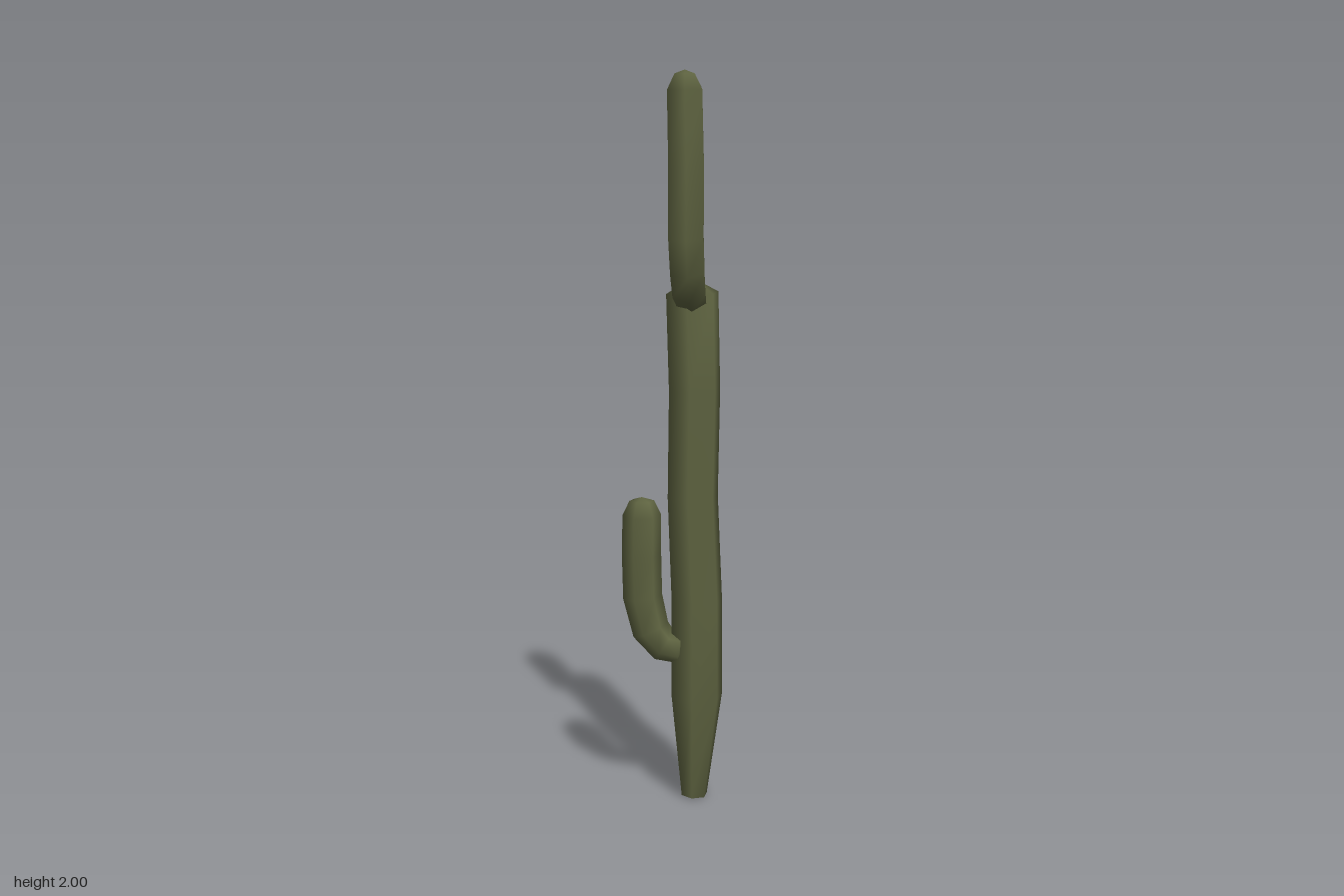
import * as THREE from 'three';
import { mergeVertices } from 'three/addons/utils/BufferGeometryUtils.js';

const SIDES = 6;
const UP = new THREE.Vector3(0, 1, 0);

// Six-sided stem lofted through rows of [x, y, z, radius]; end rows are tips of radius 0
function stemGeometry(rows, twist) {
  const pts = rows.map(([x, y, z]) => new THREE.Vector3(x, y, z));
  const positions = [];
  const index = [];
  rows.forEach(([, , , r], i) => {
    const prev = pts[Math.max(i - 1, 0)];
    const next = pts[Math.min(i + 1, pts.length - 1)];
    const tangent = next.clone().sub(prev).normalize();
    const turn = new THREE.Quaternion().setFromUnitVectors(UP, tangent);
    for (let j = 0; j < SIDES; j++) {
      const a = THREE.MathUtils.degToRad(twist + (j * 360) / SIDES);
      const p = new THREE.Vector3(Math.cos(a) * r, 0, Math.sin(a) * r);
      p.applyQuaternion(turn).add(pts[i]);
      positions.push(p.x, p.y, p.z);
    }
    if (i === 0) return;
    for (let j = 0; j < SIDES; j++) {
      const k = (j + 1) % SIDES;
      const low = (i - 1) * SIDES;
      const high = i * SIDES;
      if (rows[i - 1][3] > 0) index.push(low + j, high + j, low + k);
      if (r > 0) index.push(low + k, high + j, high + k);
    }
  });
  let geometry = new THREE.BufferGeometry();
  geometry.setAttribute('position', new THREE.Float32BufferAttribute(positions, 3));
  geometry.setIndex(index);
  geometry = mergeVertices(geometry, 1e-5);
  geometry.computeVertexNormals();
  return geometry;
}

export function createModel() {
  const group = new THREE.Group();
  const green = new THREE.MeshStandardMaterial({ color: 0x5f6441 });
  green.name = 'cactus green';

  const addStem = (name, rows, twist) => {
    const mesh = new THREE.Mesh(stemGeometry(rows, twist), green);
    mesh.name = name;
    group.add(mesh);
  };

  // Slightly crooked trunk, tapering to a narrow foot
  addStem('trunk', [
    [-0.02, 0, -0.057, 0],
    [-0.02, 0.005, -0.057, 0.037],
    [-0.005, 0.3, -0.055, 0.074],
    [-0.006, 0.57, -0.055, 0.073],
    [-0.009, 0.86, -0.043, 0.072],
    [-0.012, 1.15, -0.051, 0.073],
    [-0.016, 1.415, -0.046, 0.074],
    [-0.014, 1.455, -0.046, 0],
  ], 168);

  // Tall arm rising past the trunk top
  addStem('upperArm', [
    [0.0, 1.405, -0.03, 0],
    [0.015, 1.408, -0.018, 0.046],
    [0.04, 1.43, 0.008, 0.05],
    [0.064, 1.485, 0.03, 0.052],
    [0.08, 1.57, 0.046, 0.053],
    [0.089, 1.75, 0.052, 0.053],
    [0.089, 1.95, 0.057, 0.052],
    [0.089, 1.99, 0.057, 0.03],
    [0.089, 2.0, 0.057, 0],
  ], 37);

  // Shorter arm low on the other side
  addStem('lowerArm', [
    [-0.015, 0.437, -0.022, 0],
    [-0.025, 0.437, -0.008, 0.044],
    [-0.05, 0.445, 0.025, 0.048],
    [-0.075, 0.487, 0.052, 0.052],
    [-0.089, 0.58, 0.069, 0.054],
    [-0.088, 0.7, 0.073, 0.054],
    [-0.083, 0.81, 0.075, 0.053],
    [-0.083, 0.85, 0.075, 0.034],
    [-0.083, 0.86, 0.075, 0],
  ], 0);

  return group;
}
